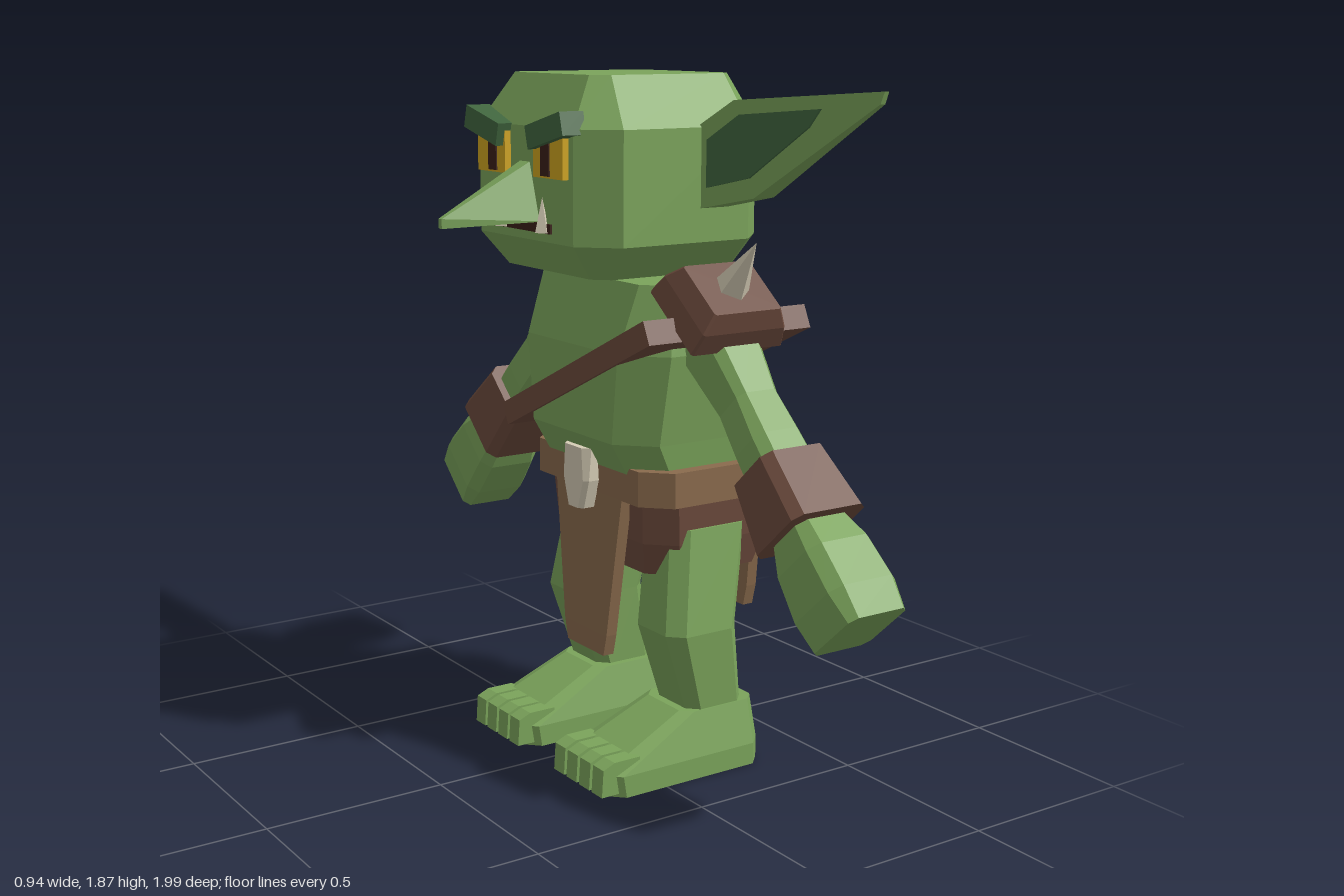
import * as THREE from 'three';
import { ConvexGeometry } from 'three/addons/geometries/ConvexGeometry.js';

const mat = (name, color) => {
  const m = new THREE.MeshStandardMaterial({ color, flatShading: true });
  m.name = name;
  return m;
};

// Octagonal loft; each section is [y, x0, x1, z0, z1, chamfer], with y ascending
function loft(sections) {
  const rings = sections.map(([y, x0, x1, z0, z1, c]) => [
    [x1, z1 - c], [x1, z0 + c], [x1 - c, z0], [x0 + c, z0],
    [x0, z0 + c], [x0, z1 - c], [x0 + c, z1], [x1 - c, z1],
  ].map(([x, z]) => [x, y, z]));
  const pos = [];
  const tri = (a, b, c) => pos.push(...a, ...b, ...c);
  for (let k = 0; k + 1 < rings.length; k++) {
    const a = rings[k], b = rings[k + 1];
    for (let i = 0; i < 8; i++) {
      const j = (i + 1) % 8;
      tri(a[i], a[j], b[j]);
      tri(a[i], b[j], b[i]);
    }
  }
  const lo = rings[0], hi = rings[rings.length - 1];
  for (let i = 1; i < 7; i++) {
    tri(hi[0], hi[i], hi[i + 1]);
    tri(lo[0], lo[i + 1], lo[i]);
  }
  const g = new THREE.BufferGeometry();
  g.setAttribute('position', new THREE.Float32BufferAttribute(pos, 3));
  g.computeVertexNormals();
  return g;
}

const hull = (pts) => new ConvexGeometry(pts.map((p) => new THREE.Vector3(...p)));

export function createModel() {
  const root = new THREE.Group();
  root.name = 'goblin';
  const skin = mat('green skin', 0x7ba45b);
  const darkSkin = mat('dark green', 0x41663f);
  const leather = mat('brown leather', 0x6d4b3d);
  const cloth = mat('tan cloth', 0x8a6b4d);
  const bone = mat('bone', 0xd6cdb6);
  const yellow = mat('yellow eye', 0xd0a520);
  const dark = mat('dark pupil', 0x3a2018);

  const add = (name, geo, m, parent = root) => {
    const mesh = new THREE.Mesh(geo, m);
    mesh.name = name;
    parent.add(mesh);
    return mesh;
  };
  const box = (name, m, x, y, z, w, h, d, parent) => {
    const b = add(name, new THREE.BoxGeometry(w, h, d), m, parent);
    b.position.set(x, y, z);
    return b;
  };

  // Head, neck and torso
  add('head', loft([
    [1.36, -0.15, 0.29, -0.24, 0.24, 0.04],
    [1.45, -0.22, 0.35, -0.32, 0.32, 0.09],
    [1.74, -0.22, 0.35, -0.32, 0.32, 0.09],
    [1.87, -0.14, 0.29, -0.22, 0.22, 0.04],
  ]), skin);
  box('neck', skin, 0.11, 1.35, 0, 0.22, 0.1, 0.22);
  add('torso', loft([
    [0.78, 0.0, 0.4, -0.27, 0.27, 0.08],
    [0.92, -0.08, 0.42, -0.285, 0.285, 0.09],
    [1.16, -0.08, 0.39, -0.32, 0.32, 0.1],
    [1.34, -0.02, 0.3, -0.29, 0.29, 0.06],
  ]), skin);

  // Face
  add('nose', hull([
    [-0.2, 1.66, -0.025], [-0.2, 1.66, 0.025], [-0.2, 1.5, -0.075], [-0.2, 1.5, 0.075],
    [-0.47, 1.515, -0.008], [-0.47, 1.515, 0.008], [-0.47, 1.49, -0.008], [-0.47, 1.49, 0.008],
  ]), skin);
  box('mouth', dark, -0.222, 1.485, 0, 0.008, 0.025, 0.26);
  for (const s of [1, -1]) {
    box('eye', yellow, -0.226, 1.67, s * 0.14, 0.024, 0.11, 0.14);
    box('pupil', dark, -0.239, 1.67, s * 0.13, 0.006, 0.1, 0.04);
    const brow = box('brow', darkSkin, -0.225, 1.735, s * 0.155, 0.07, 0.06, 0.17);
    brow.rotation.x = -s * 0.25;
    const tusk = add('tusk', new THREE.ConeGeometry(0.022, 0.09, 4), bone);
    tusk.position.set(-0.23, 1.52, s * 0.1);

    // Ear with an inner panel on its slanted front face
    const frontX = (z) => 0.1 + (z - 0.3) * 0.34;
    const backX = (z) => 0.19 + (z - 0.3) * 0.19;
    const outline = [[0.29, 1.73], [0.41, 1.81], [0.81, 1.84], [0.8, 1.81], [0.47, 1.57], [0.29, 1.53]];
    add('ear', hull(outline.flatMap(([z, y]) => [[frontX(z), y, s * z], [backX(z), y, s * z]])), skin);
    const inner = [[0.34, 1.71], [0.43, 1.775], [0.65, 1.795], [0.62, 1.75], [0.46, 1.62], [0.34, 1.59]];
    add('innerEar', hull(inner.flatMap(([z, y]) =>
      [[frontX(z) - 0.006, y, s * z], [frontX(z) + 0.002, y, s * z]])), darkSkin);

    // Arm, laid out along its own axis around the bracer
    const arm = new THREE.Group();
    arm.name = s > 0 ? 'rightArm' : 'leftArm';
    arm.position.set(0.15, 0.845, s * 0.665);
    arm.rotation.x = -s * 0.75;
    root.add(arm);
    add('upperArm', loft([
      [-0.02, -0.08, 0.08, -0.075, 0.075, 0.025],
      [0.16, -0.075, 0.075, -0.07, 0.07, 0.025],
      [0.28, -0.065, 0.065, -0.065, 0.065, 0.02],
      [0.48, -0.085, 0.085, -0.085, 0.085, 0.025],
      [0.56, -0.075, 0.075, -0.05, 0.05, 0.02],
    ]), skin, arm);
    add('bracer', loft([
      [-0.095, -0.115, 0.115, -0.112, 0.112, 0.025],
      [0.095, -0.1, 0.1, -0.093, 0.093, 0.025],
    ]), leather, arm);
    add('hand', loft([
      [-0.375, -0.09, 0.09, -0.1, 0.1, 0.02],
      [-0.29, -0.105, 0.105, -0.11, 0.11, 0.03],
      [-0.17, -0.1, 0.1, -0.1, 0.1, 0.03],
      [-0.08, -0.08, 0.08, -0.075, 0.075, 0.025],
    ]), skin, arm);

    // Leg, foot and toes
    const side = (a, b) => (s > 0 ? [a, b] : [-b, -a]);
    add('leg', loft([
      [0.16, 0.11, 0.29, ...side(0.13, 0.31), 0.03],
      [0.4, 0.03, 0.26, ...side(0.12, 0.33), 0.04],
      [0.68, 0.07, 0.32, ...side(0.1, 0.29), 0.04],
    ]), skin);
    add('foot', loft([
      [0, -0.17, 0.33, ...side(0.08, 0.345), 0.04],
      [0.06, -0.18, 0.33, ...side(0.08, 0.345), 0.04],
      [0.18, 0.08, 0.32, ...side(0.11, 0.315), 0.03],
    ]), skin);
    for (let i = 0; i < 4; i++) {
      const z = s * (0.12 + i * 0.062);
      add('toe', hull([-0.025, 0.025].flatMap((d) => [
        [-0.2, 0.01, z + d], [-0.195, 0.085, z + d], [-0.16, 0.1, z + d],
        [-0.08, 0.1, z + d], [-0.08, 0.01, z + d],
      ])), skin);
    }
  }

  // Slanted chest strap, spiked shoulder pad
  const strap = box('chestStrap', leather, 0.17, 1.075, 0.015, 0.52, 0.065, 0.77);
  strap.rotation.x = -0.44;
  const pad = new THREE.Group();
  pad.name = 'shoulderPad';
  pad.position.set(0.145, 1.255, 0.34);
  pad.rotation.x = 0.66;
  root.add(pad);
  add('padPlate', loft([
    [0, -0.145, 0.145, -0.118, 0.118, 0.006],
    [0.06, -0.13, 0.13, -0.11, 0.11, 0.006],
    [0.11, -0.105, 0.105, -0.088, 0.088, 0.006],
  ]), leather, pad);
  const spike = add('spike', new THREE.ConeGeometry(0.048, 0.16, 5), bone, pad);
  spike.position.y = 0.185;

  // Belt, breeches, loincloth flaps and bone buckle
  add('belt', loft([
    [0.755, -0.03, 0.465, -0.315, 0.315, 0.07],
    [0.85, -0.03, 0.465, -0.315, 0.315, 0.07],
  ]), cloth);
  add('breeches', loft([
    [0.55, 0.03, 0.41, -0.26, 0.26, 0.07],
    [0.64, 0.01, 0.44, -0.28, 0.28, 0.07],
    [0.77, 0.0, 0.43, -0.29, 0.29, 0.07],
  ]), leather);
  const flap = (name, topX, bottomX, bottomY, w) => add(name, hull([0, 0.033].flatMap((t) => [
    [topX + t, 0.78, -0.165], [topX + t, 0.78, 0.165],
    [bottomX + t, bottomY + 0.06, -w - 0.015], [bottomX + t, bottomY + 0.06, w + 0.015],
    [bottomX + t, bottomY, -w], [bottomX + t, bottomY, w],
  ])), cloth);
  flap('backFlap', 0.425, 0.438, 0.365, 0.1);
  flap('frontFlap', -0.025, -0.036, 0.3, 0.09);
  add('buckle', loft([
    [0.71, -0.075, -0.02, -0.035, 0.035, 0.012],
    [0.79, -0.075, -0.02, -0.06, 0.06, 0.012],
    [0.88, -0.075, -0.02, -0.06, 0.06, 0.02],
  ]), bone);

  return root;
}
